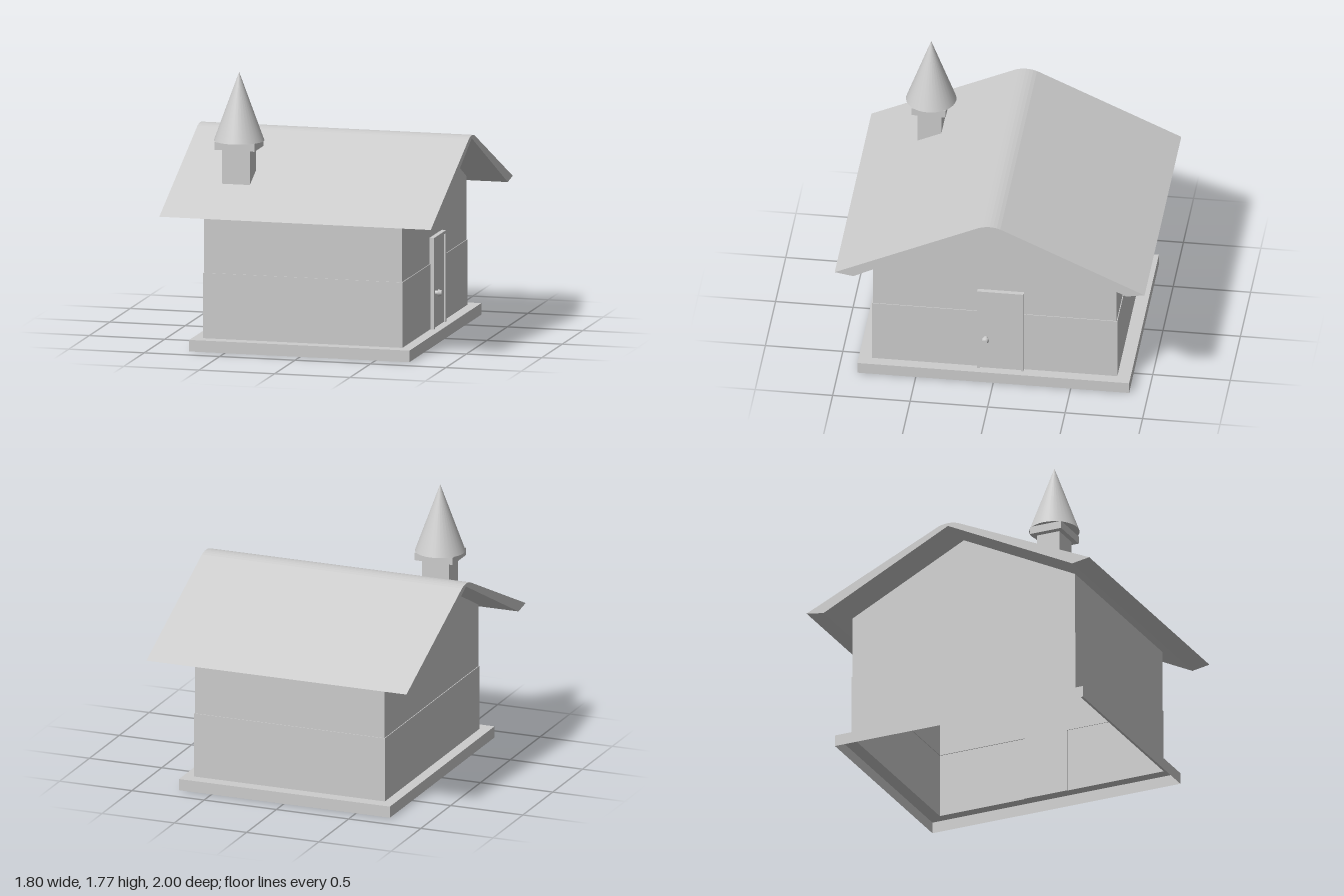
import * as THREE from 'three';

const stone = new THREE.MeshStandardMaterial({ color: 0xcccccc, side: THREE.DoubleSide });
stone.name = 'pale grey';

function add(parent, name, geometry, x = 0, y = 0, z = 0) {
  const mesh = new THREE.Mesh(geometry, stone);
  mesh.name = name;
  mesh.position.set(x, y, z);
  parent.add(mesh);
  return mesh;
}

// Flat-shaded triangles from a list of points
function facets(points) {
  const g = new THREE.BufferGeometry();
  g.setAttribute('position', new THREE.Float32BufferAttribute(points.flat(), 3));
  g.computeVertexNormals();
  return g;
}

// Open rectangular shell through sections [half width, y, half depth], bottom to top
function shell(sections) {
  const corners = [[1, 1], [1, -1], [-1, -1], [-1, 1]];
  const at = ([w, y, d], i) => [corners[i % 4][0] * w, y, corners[i % 4][1] * d];
  const pts = [];
  for (let s = 0; s < sections.length - 1; s++) {
    for (let i = 0; i < 4; i++) {
      const a = at(sections[s], i), b = at(sections[s], i + 1);
      const c = at(sections[s + 1], i + 1), d = at(sections[s + 1], i);
      pts.push(a, b, c, a, c, d);
    }
  }
  return facets(pts);
}

// Roof with a rounded ridge, thinning towards the top, swept along x
function roofGeometry(length) {
  const s = new THREE.Shape();
  s.moveTo(-1, 0.89);
  s.lineTo(-0.88, 0.87);
  s.lineTo(0, 1.31);
  s.lineTo(0.88, 0.87);
  s.lineTo(1, 0.89);
  s.lineTo(0.09, 1.308);
  s.bezierCurveTo(0.035, 1.337, -0.035, 1.337, -0.09, 1.308);
  s.closePath();
  const g = new THREE.ExtrudeGeometry(s, { depth: length, bevelEnabled: false, curveSegments: 8 });
  g.translate(0, 0, -length / 2);
  g.rotateY(Math.PI / 2);
  return g;
}

export function createModel() {
  const model = new THREE.Group();
  model.name = 'cottage';

  // Hollow body, open underneath
  const body = new THREE.Group();
  body.name = 'body';
  body.position.x = -0.005;
  model.add(body);
  const w = 0.655, d = 0.787, eave = 0.915, ridge = 1.31;
  add(body, 'plinth', shell([[0.73, 0, 0.877], [0.73, 0.075, 0.877], [0.66, 0.075, 0.792]]));
  add(body, 'lowerWalls', shell([[0.66, 0.075, 0.792], [0.66, 0.5, 0.792], [w, 0.5, d]]));
  add(body, 'upperWalls', shell([[w, 0.5, d], [w, eave, d]]));
  add(body, 'gables', facets([
    [w, eave, d], [w, eave, -d], [w, ridge, 0],
    [-w, eave, -d], [-w, eave, d], [-w, ridge, 0],
  ]));

  add(model, 'roof', roofGeometry(1.8));

  // Chimney: open shaft, square collar and pointed cap
  const chimney = new THREE.Group();
  chimney.name = 'chimney';
  chimney.position.set(-0.49, 0, 0.56);
  model.add(chimney);
  add(chimney, 'shaft', shell([[0.092, 0.7, 0.078], [0.092, 1.28, 0.078]]));
  add(chimney, 'collar', new THREE.BoxGeometry(0.264, 0.05, 0.22), 0, 1.305, 0);
  add(chimney, 'cap', new THREE.ConeGeometry(0.162, 0.445, 32), 0, 1.5525, 0);

  // Door on the left side: raised frame, recessed leaf and knob
  const door = new THREE.Group();
  door.name = 'door';
  door.position.set(0.65, 0.075, -0.04);
  model.add(door);
  for (const side of [-1, 1]) {
    add(door, 'doorPost', new THREE.BoxGeometry(0.03, 0.595, 0.018), 0.015, 0.2975, side * 0.141);
  }
  add(door, 'lintel', new THREE.BoxGeometry(0.03, 0.018, 0.264), 0.015, 0.586, 0);
  add(door, 'leaf', new THREE.BoxGeometry(0.018, 0.577, 0.264), 0.009, 0.2885, 0);
  const knob = new THREE.Group();
  knob.name = 'knob';
  knob.position.set(0.016, 0.23, 0.095);
  knob.rotation.z = -Math.PI / 2;
  door.add(knob);
  add(knob, 'knobStem', new THREE.CylinderGeometry(0.015, 0.015, 0.03, 12), 0, 0.015, 0);
  add(knob, 'knobHead', new THREE.CylinderGeometry(0.016, 0.024, 0.024, 12), 0, 0.04, 0);

  return model;
}
